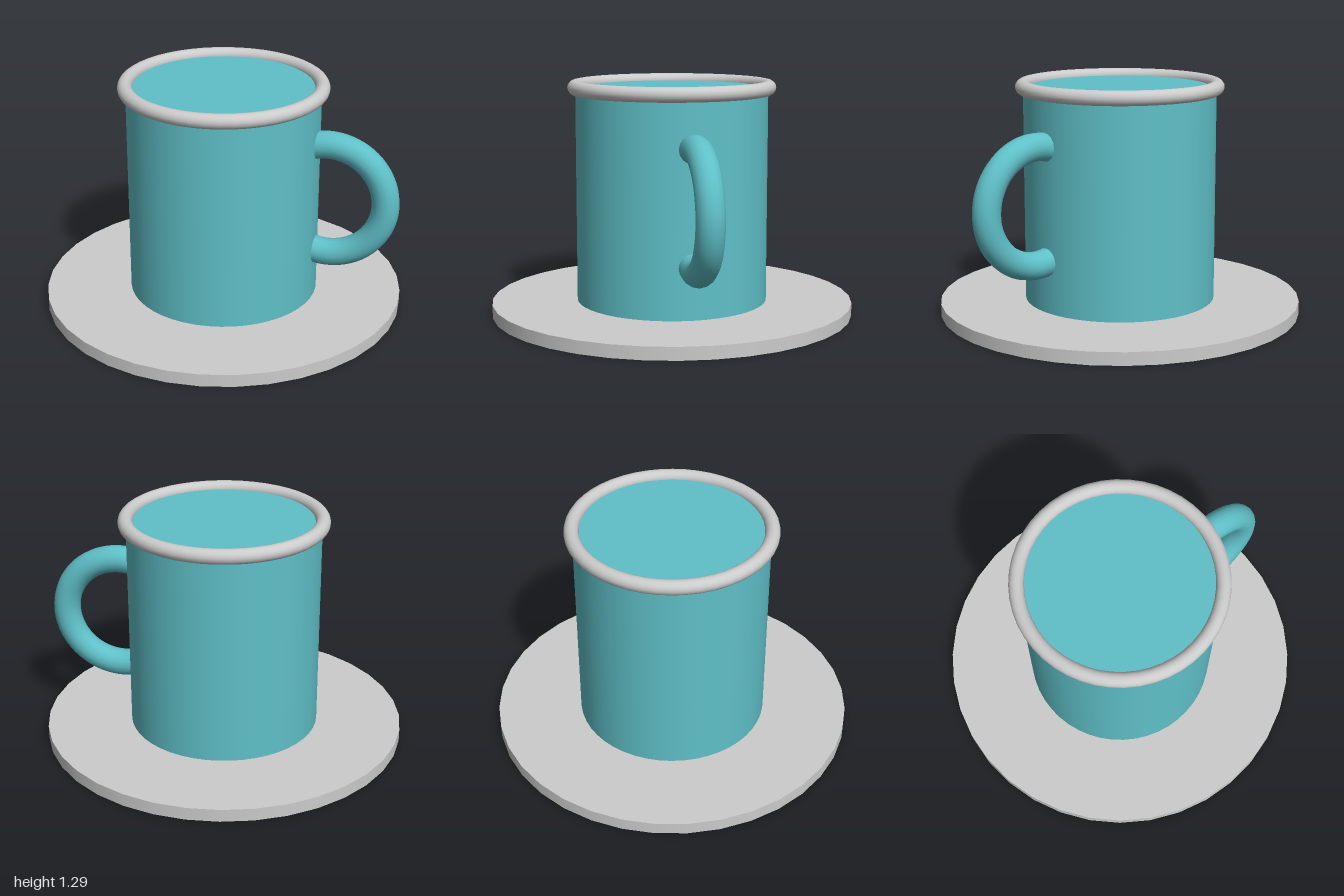
import * as THREE from 'three';

const grey = new THREE.MeshStandardMaterial({ color: 0xcccccc });
const teal = new THREE.MeshStandardMaterial({ color: 0x5fc0c8 });

export function createModel() {
  const group = new THREE.Group();
  const add = (name, geometry, material, x, y) => {
    const mesh = new THREE.Mesh(geometry, material);
    mesh.name = name;
    mesh.position.set(x, y, 0);
    group.add(mesh);
  };

  // Flat round saucer
  const saucerHeight = 0.07;
  add('saucer', new THREE.CylinderGeometry(1, 1, saucerHeight, 36), grey, 0, saucerHeight / 2);

  // Filled cup body, its top closed at the middle of the rim
  const rimY = 1.25;
  const cupHeight = rimY - saucerHeight;
  add('cupBody', new THREE.CylinderGeometry(0.527, 0.527, cupHeight, 48), teal, 0, saucerHeight + cupHeight / 2);

  // Rounded rim
  add('rim', new THREE.TorusGeometry(0.53, 0.04, 16, 48).rotateX(Math.PI / 2), grey, 0, rimY);

  // Handle: ring arc whose ends sink into the cup wall
  const arc = THREE.MathUtils.degToRad(230);
  add('handle', new THREE.TorusGeometry(0.317, 0.075, 16, 48, arc).rotateZ(-arc / 2), teal, 0.588, 0.66);

  return group;
}
